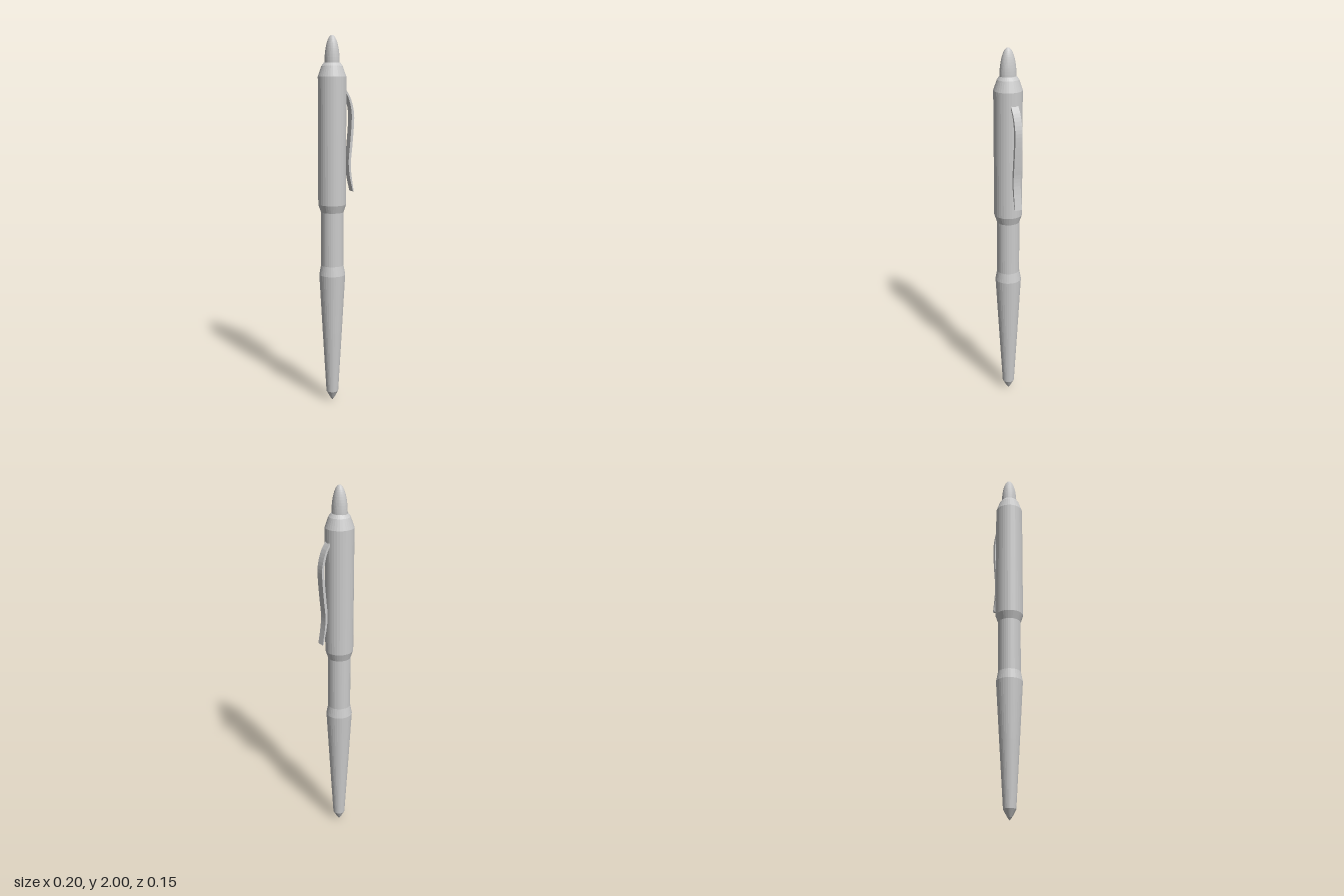
import * as THREE from 'three';

const AXIS_X = -0.025;
const SIDES = 32;

export function createModel() {
  const pen = new THREE.Group();
  pen.name = 'pen';
  const flat = new THREE.MeshStandardMaterial({ color: 0xcccccc, flatShading: true });

  const add = (name, geometry, x = 0) => {
    const mesh = new THREE.Mesh(geometry, flat);
    mesh.name = name;
    mesh.position.x = x;
    pen.add(mesh);
    return mesh;
  };

  // Turned parts: profiles are [radius, height] from bottom to top
  const turned = (name, profile) => add(name,
    new THREE.LatheGeometry(profile.map(([r, y]) => new THREE.Vector2(r, y)), SIDES), AXIS_X);

  turned('writingTip', [[0, 0], [0.012, 0.016], [0.033, 0.055]]);
  turned('lowerBarrel', [[0.033, 0.055], [0.053, 0.4], [0.071, 0.725], [0.061, 0.778]]);
  turned('grip', [[0.061, 0.778], [0.061, 1.07]]);
  turned('upperBarrel', [[0.061, 1.07], [0.075, 1.112], [0.075, 1.787], [0.056, 1.842], [0.043, 1.859], [0, 1.859]]);

  // Push button: a slim half ellipsoid, a little wider front to back
  const button = [];
  for (let i = 0; i <= 14; i++) {
    const a = (i / 14) * Math.PI / 2;
    button.push([i === 14 ? 0 : 0.039 * Math.cos(a), 1.855 + 0.145 * Math.sin(a)]);
  }
  turned('pushButton', button).scale.z = 1.13;

  // Pocket clip: a wavy strip, thin at both ends, extruded across its width
  const spline = (points) => new THREE.SplineCurve(points.map(([x, y]) => new THREE.Vector2(x, y))).getPoints(24);
  const outer = spline([[0.04, 1.73], [0.073, 1.68], [0.094, 1.61], [0.096, 1.54], [0.086, 1.42], [0.078, 1.34], [0.081, 1.27], [0.096, 1.175]]);
  const inner = spline([[0.09, 1.18], [0.071, 1.26], [0.064, 1.34], [0.071, 1.42], [0.081, 1.54], [0.08, 1.61], [0.063, 1.675], [0.04, 1.715]]);
  const clip = new THREE.ExtrudeGeometry(new THREE.Shape([...outer, ...inner]), { depth: 0.041, bevelEnabled: false });
  clip.translate(0, 0, -0.0205);
  add('pocketClip', clip);

  return pen;
}
